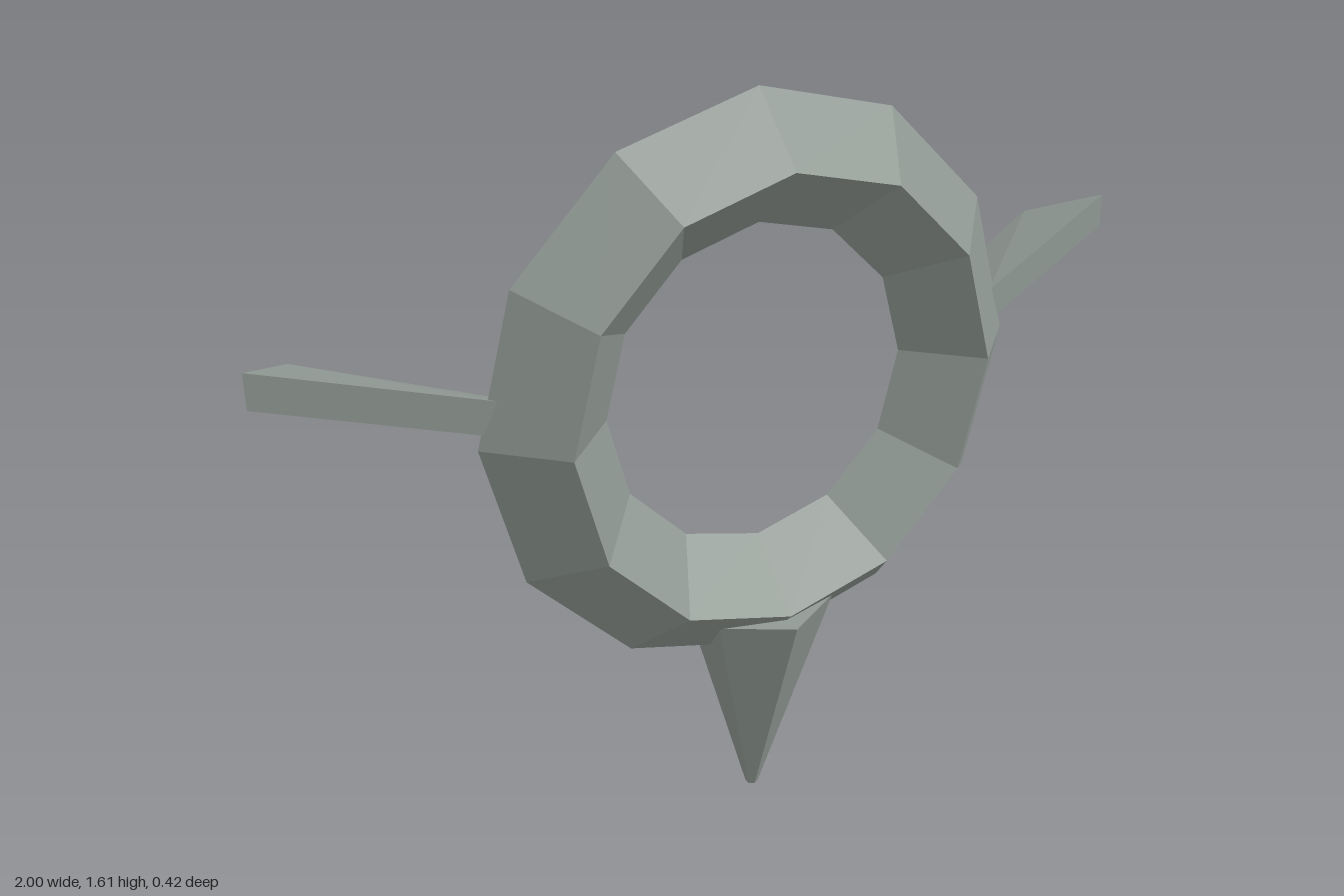
import * as THREE from 'three';

// Tapered arm for the +x side: a box whose corners move to root and tip sections.
function armGeometry() {
  // [x, top y, bottom y, z] at the front and back edges
  const corners = {
    rootFront: [0.565, 1.092, 1.018, 0.067],
    rootBack: [0.465, 1.012, 0.935, -0.08],
    tipFront: [1.0, 1.19, 1.115, -0.087],
    tipBack: [0.88, 1.135, 1.06, -0.213],
  };
  const geometry = new THREE.BoxGeometry(1, 1, 1);
  const p = geometry.attributes.position;
  for (let i = 0; i < p.count; i++) {
    const key = (p.getX(i) > 0 ? 'tip' : 'root') + (p.getZ(i) > 0 ? 'Front' : 'Back');
    const [x, top, bottom, z] = corners[key];
    p.setXYZ(i, x, p.getY(i) > 0 ? top : bottom, z);
  }
  geometry.computeVertexNormals();
  return geometry;
}

// Mirror across x and restore the face winding.
function mirrorX(geometry) {
  const g = geometry.clone().scale(-1, 1, 1);
  const index = g.index;
  for (let i = 0; i < index.count; i += 3) {
    const b = index.getX(i + 1);
    index.setX(i + 1, index.getX(i + 2));
    index.setX(i + 2, b);
  }
  g.computeVertexNormals();
  return g;
}

export function createModel() {
  const model = new THREE.Group();
  model.name = 'spikedRing';
  const stone = new THREE.MeshStandardMaterial({ color: 0x8f9892, flatShading: true });
  stone.name = 'grey stone';

  const add = (name, geometry) => {
    const mesh = new THREE.Mesh(geometry, stone);
    mesh.name = name;
    model.add(mesh);
    return mesh;
  };

  // Twelve-sided ring with a diamond section
  add('ring', new THREE.TorusGeometry(0.48, 0.135, 4, 12)).position.set(0, 0.995, 0.05);

  // Six-sided spike below the ring, leaning slightly forward at the top
  const spike = add('bottomSpike', new THREE.CylinderGeometry(0.162, 0.014, 0.503, 6));
  spike.position.set(0, 0.252, 0.037);
  spike.rotation.x = 0.045;

  // Swept-back arms
  const arm = armGeometry();
  add('leftArm', arm);
  add('rightArm', mirrorX(arm));

  return model;
}
